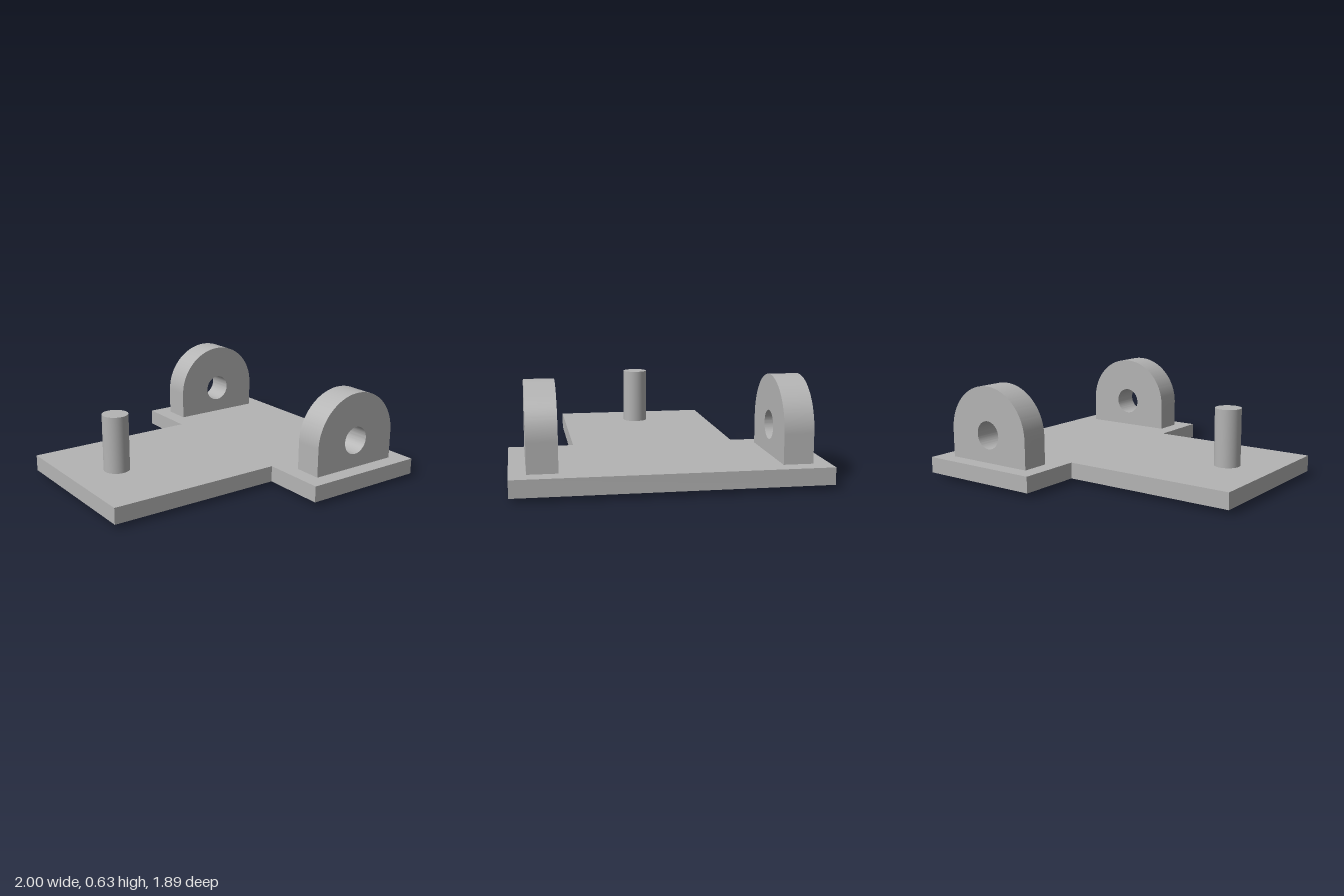
import * as THREE from 'three';
import { toCreasedNormals } from 'three/addons/utils/BufferGeometryUtils.js';

const grey = new THREE.MeshStandardMaterial({ color: 0xb4b4b4 });
grey.name = 'plain grey';

function addPart(parent, name, geometry, x = 0, y = 0, z = 0) {
  const mesh = new THREE.Mesh(geometry, grey);
  mesh.name = name;
  mesh.position.set(x, y, z);
  parent.add(mesh);
  return mesh;
}

// T-shaped outline, extruded upwards
function plateGeometry(thickness) {
  const narrow = 0.527, wide = 0.945, step = 0.157;
  const outline = [
    [-1, -narrow], [step, -narrow], [step, -wide], [1, -wide],
    [1, wide], [step, wide], [step, narrow], [-1, narrow],
  ].map(([x, y]) => new THREE.Vector2(x, y));
  const geometry = new THREE.ExtrudeGeometry(new THREE.Shape(outline), {
    depth: thickness, bevelEnabled: false,
  });
  return geometry.rotateX(-Math.PI / 2);
}

// Round-topped lug with a bore; its disc pokes out below the square shoulders
function lugGeometry(radius, bore, depth) {
  const shoulder = 0.24;
  const angle = Math.asin(shoulder / radius);
  const shape = new THREE.Shape();
  shape.moveTo(radius, 0);
  shape.absarc(0, 0, radius, 0, Math.PI, false);
  shape.lineTo(-radius, -shoulder);
  shape.absarc(0, 0, radius, Math.PI + angle, 2 * Math.PI - angle, false);
  shape.lineTo(radius, -shoulder);
  shape.closePath();
  shape.holes.push(new THREE.Path().absarc(0, 0, bore, 0, Math.PI * 2, true));
  const geometry = new THREE.ExtrudeGeometry(shape, {
    depth, bevelEnabled: false, curveSegments: 48,
  });
  geometry.translate(0, 0, -depth / 2);
  return toCreasedNormals(geometry, 0.5);
}

export function createModel() {
  const model = new THREE.Group();
  model.name = 'mounting bracket';

  addPart(model, 'basePlate', plateGeometry(0.105), 0, 0.028, 0);

  // Upright pin, rooted inside the plate
  const pinBottom = 0.08, pinTop = 0.503;
  addPart(model, 'pin', new THREE.CylinderGeometry(0.084, 0.084, pinTop - pinBottom, 48),
    -0.686, (pinTop + pinBottom) / 2, 0);

  // Matching pair of lugs
  const radius = 0.315;
  const lug = lugGeometry(radius, 0.091, 0.182);
  for (const [name, side] of [['frontLug', 1], ['backLug', -1]]) {
    addPart(model, name, lug, 0.577, radius, side * 0.752);
  }
  return model;
}
